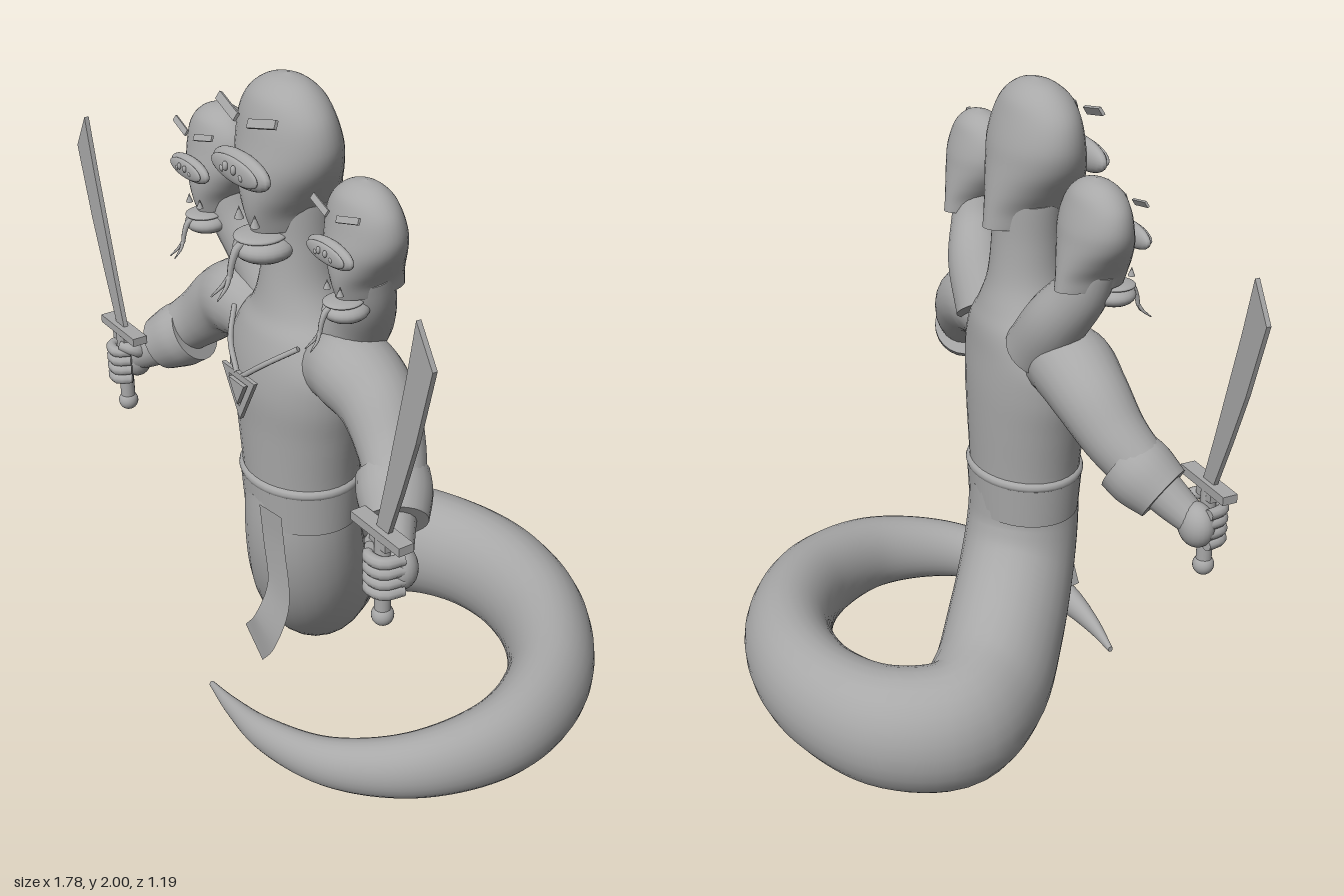
import * as THREE from 'three';

const V = (x, y, z) => new THREE.Vector3(x, y, z);
const grey = new THREE.MeshStandardMaterial({ color: 0xa8a8a8, side: THREE.DoubleSide });
grey.name = 'stone grey';

function add(parent, name, geometry, x = 0, y = 0, z = 0) {
  const m = new THREE.Mesh(geometry, grey);
  m.name = name;
  m.position.set(x, y, z);
  parent.add(m);
  return m;
}

// Skin over a list of rings, with flat caps at both ends
function skin(rings) {
  const n = rings[0].length, pos = [], idx = [];
  rings.forEach(r => r.forEach(p => pos.push(p.x, p.y, p.z)));
  for (let i = 0; i < rings.length - 1; i++) for (let j = 0; j < n; j++) {
    const k = (j + 1) % n, a = i * n + j, b = i * n + k;
    idx.push(a, a + n, b, b, a + n, b + n);
  }
  [rings[0], rings[rings.length - 1]].forEach((r, end) => {
    const base = pos.length / 3, c = V(0, 0, 0);
    r.forEach(p => { pos.push(p.x, p.y, p.z); c.addScaledVector(p, 1 / n); });
    pos.push(c.x, c.y, c.z);
    for (let j = 0; j < n; j++) {
      const a = base + j, b = base + (j + 1) % n;
      end ? idx.push(a, base + n, b) : idx.push(a, b, base + n);
    }
  });
  const g = new THREE.BufferGeometry();
  g.setAttribute('position', new THREE.Float32BufferAttribute(pos, 3));
  g.setIndex(idx);
  g.computeVertexNormals();
  return g;
}

// Tapered tube through [x, y, z, radius] rows; stretch widens it vertically
function limb(rows, steps = 24, sides = 24, stretch = 1) {
  const path = new THREE.CatmullRomCurve3(rows.map(r => V(r[0], r[1] / stretch, r[2])));
  const rad = new THREE.CatmullRomCurve3(rows.map(r => V(r[3], 0, 0)), false, 'catmullrom');
  const f = path.computeFrenetFrames(steps);
  const rings = [];
  for (let i = 0; i <= steps; i++) {
    const t = path.getUtoTmapping(i / steps), c = path.getPoint(t), r = rad.getPoint(t).x;
    rings.push(Array.from({ length: sides }, (_, j) => {
      const a = j / sides * Math.PI * 2;
      const p = c.clone().addScaledVector(f.normals[i], r * Math.cos(a)).addScaledVector(f.binormals[i], -r * Math.sin(a));
      p.y *= stretch;
      return p;
    }));
  }
  return skin(rings);
}

// Upright form through [y, half width, back z, front z] rows
function stack(rows, steps = 36, sides = 36) {
  const size = new THREE.CatmullRomCurve3(rows.map(r => V(r[1], r[0], (r[3] - r[2]) / 2)));
  const mid = new THREE.CatmullRomCurve3(rows.map(r => V(0, 0, (r[3] + r[2]) / 2)), false, 'catmullrom');
  const rings = [];
  for (let i = 0; i <= steps; i++) {
    const s = size.getPoint(i / steps), z = mid.getPoint(i / steps).z;
    rings.push(Array.from({ length: sides }, (_, j) => {
      const a = j / sides * Math.PI * 2;
      return V(s.x * Math.cos(a), s.y, z + s.z * Math.sin(a));
    }));
  }
  return skin(rings);
}

function plate(points, depth, hole) {
  const shape = new THREE.Shape(points.map(p => new THREE.Vector2(...p)));
  if (hole) shape.holes.push(new THREE.Path(hole.map(p => new THREE.Vector2(...p))));
  return new THREE.ExtrudeGeometry(shape, { depth, bevelEnabled: false });
}

const ball = (x, y, z) => new THREE.SphereGeometry(1, 24, 16).scale(x, y, z);

// Snake head, with its origin 0.2 below the crown
function makeHead(name) {
  const g = new THREE.Group();
  g.name = name;
  add(g, 'hood', stack([
    [-0.21, 0.07, -0.155, 0.125], [-0.16, 0.085, -0.15, 0.14], [-0.1, 0.125, -0.142, 0.145],
    [-0.03, 0.168, -0.13, 0.138], [0.03, 0.182, -0.12, 0.125], [0.1, 0.168, -0.1, 0.11],
    [0.15, 0.13, -0.08, 0.09], [0.185, 0.075, -0.045, 0.05], [0.2, 0.004, -0.004, 0.004]]));
  add(g, 'muzzle', ball(0.135, 0.048, 0.03), 0, -0.03, 0.15);
  add(g, 'muzzlePlate', ball(0.115, 0.035, 0.012), 0, -0.03, 0.173);
  add(g, 'lowerJaw', ball(0.085, 0.042, 0.085), 0, -0.26, 0.09);
  add(g, 'lowerLip', ball(0.07, 0.015, 0.075), 0, -0.225, 0.1);
  for (const s of [-1, 1]) {
    const brow = add(g, 'brow', new THREE.BoxGeometry(0.115, 0.024, 0.009), s * 0.085, 0.112, 0.135);
    brow.rotation.set(-0.5, 0, s * 0.26);
    add(g, 'nostril', ball(0.009, 0.013, 0.008), s * 0.02, -0.02, 0.187);
    add(g, 'muzzleDot', ball(0.01, 0.01, 0.008), s * 0.047, -0.035, 0.18);
    add(g, 'fang', new THREE.ConeGeometry(0.014, 0.035, 8), s * 0.04, -0.165, 0.14);
    add(g, 'tongueFork', limb([[0, -0.32, 0.2, 0.007], [s * 0.008, -0.345, 0.215, 0.006], [s * 0.017, -0.375, 0.25, 0.002]], 8, 8));
  }
  add(g, 'tongue', limb([[0, -0.235, 0.12, 0.012], [0, -0.245, 0.17, 0.012], [0, -0.28, 0.19, 0.01], [0, -0.325, 0.2, 0.008]], 12, 8));
  return g;
}

function makeSword(s) {
  const g = new THREE.Group();
  g.name = 'sword';
  add(g, 'blade', plate([[0.67, 1.05], [0.72, 1.05], [0.775, 1.2], [0.83, 1.36], [0.89, 1.575],
    [0.825, 1.68], [0.79, 1.52], [0.75, 1.36], [0.71, 1.2]].map(p => [s * p[0], p[1]]), 0.014), 0, 0, 0.442);
  add(g, 'guard', new THREE.BoxGeometry(0.21, 0.025, 0.045), s * 0.685, 1.04, 0.45);
  add(g, 'guardBlock', new THREE.BoxGeometry(0.07, 0.05, 0.035), s * 0.69, 1.025, 0.45);
  add(g, 'grip', new THREE.CylinderGeometry(0.022, 0.022, 0.24, 16), s * 0.69, 0.91, 0.45);
  add(g, 'pommel', ball(0.03, 0.03, 0.03), s * 0.69, 0.79, 0.45);
  return g;
}

function makeArm(s) {
  const g = new THREE.Group();
  g.name = s > 0 ? 'leftArm' : 'rightArm';
  add(g, 'sleeve', limb([[s * 0.17, 1.23, 0.25, 0.1], [s * 0.27, 1.25, 0.25, 0.118], [s * 0.38, 1.21, 0.25, 0.108],
    [s * 0.48, 1.125, 0.275, 0.092], [s * 0.56, 1.055, 0.315, 0.08]]));
  add(g, 'cuff', limb([[s * 0.515, 1.065, 0.295, 0.098], [s * 0.56, 1.035, 0.32, 0.1], [s * 0.615, 0.995, 0.355, 0.085]], 12));
  add(g, 'wrist', limb([[s * 0.58, 1.02, 0.34, 0.065], [s * 0.64, 0.97, 0.38, 0.055], [s * 0.69, 0.935, 0.41, 0.045]], 10, 16));
  add(g, 'palm', ball(0.06, 0.065, 0.048), s * 0.7, 0.93, 0.41);
  // Fingers wrapped round the grip
  for (let i = 0; i < 4; i++)
    add(g, 'finger', limb([[s * 0.74, 0.975 - i * 0.031, 0.42, 0.016], [s * 0.725, 0.975 - i * 0.031, 0.475, 0.017],
      [s * 0.675, 0.975 - i * 0.031, 0.485, 0.017], [s * 0.65, 0.975 - i * 0.031, 0.45, 0.014]], 10, 10));
  add(g, 'thumb', limb([[s * 0.65, 0.96, 0.4, 0.022], [s * 0.635, 0.985, 0.44, 0.02], [s * 0.67, 0.995, 0.475, 0.015]], 10, 10));
  g.add(makeSword(s));
  return g;
}

// Wavy cloth strip hanging from the belt
function makeSash() {
  const c = new THREE.CatmullRomCurve3([V(0.1, 0.78, 0.42), V(0.115, 0.67, 0.42), V(0.15, 0.53, 0.432), V(0.115, 0.39, 0.46), V(0.04, 0.3, 0.455)]);
  const geo = new THREE.PlaneGeometry(1, 1, 2, 24), p = geo.attributes.position;
  for (let i = 0; i < p.count; i++) {
    const u = 0.5 - p.getY(i), w = p.getX(i) * 0.118, q = c.getPoint(u), t = c.getTangent(u);
    const l = Math.hypot(t.x, t.y);
    p.setXYZ(i, q.x - t.y / l * w, q.y + t.x / l * w, q.z);
  }
  geo.computeVertexNormals();
  return geo;
}

export function createModel() {
  const root = new THREE.Group();
  root.name = 'threeHeadedSerpentWarrior';

  // Coiled tail
  add(root, 'tail', limb([[0, 0.78, 0.25, 0.165], [0, 0.64, 0.25, 0.17], [-0.03, 0.5, 0.22, 0.175], [-0.13, 0.34, 0.13, 0.18],
    [-0.26, 0.235, 0.01, 0.178], [-0.35, 0.205, -0.14, 0.165], [-0.28, 0.2, -0.32, 0.155], [-0.1, 0.2, -0.43, 0.145],
    [0.12, 0.2, -0.46, 0.142], [0.36, 0.195, -0.4, 0.138], [0.58, 0.19, -0.23, 0.125], [0.685, 0.185, 0.02, 0.104],
    [0.63, 0.165, 0.28, 0.082], [0.46, 0.14, 0.46, 0.062], [0.24, 0.125, 0.54, 0.044], [0.06, 0.115, 0.55, 0.024],
    [-0.08, 0.105, 0.54, 0.008]], 110, 28, 1.24));

  // Torso, neck and belt
  add(root, 'torso', stack([[0.7, 0.18, 0.095, 0.405], [0.84, 0.19, 0.09, 0.41], [1, 0.218, 0.085, 0.415], [1.12, 0.245, 0.085, 0.42],
    [1.21, 0.25, 0.09, 0.41], [1.29, 0.21, 0.095, 0.39], [1.35, 0.155, 0.11, 0.365], [1.43, 0.115, 0.13, 0.35],
    [1.54, 0.1, 0.14, 0.34], [1.66, 0.1, 0.14, 0.34]], 48));
  add(root, 'belt', new THREE.CylinderGeometry(0.197, 0.188, 0.13, 40).scale(1, 1, 0.85), 0, 0.76, 0.25);
  add(root, 'beltRim', new THREE.TorusGeometry(0.185, 0.016, 10, 40).rotateX(Math.PI / 2).scale(1, 1, 0.85), 0, 0.828, 0.25);
  add(root, 'sash', makeSash());

  // Necklace
  add(root, 'pendant', plate([[-0.085, 1.185], [0, 1.04], [0.085, 1.185]], 0.012, [[-0.05, 1.165], [0.05, 1.165], [0, 1.08]]), 0, 0, 0.436);
  add(root, 'pendantGem', plate([[-0.04, 1.16], [0, 1.09], [0.04, 1.16]], 0.015), 0, 0, 0.44);

  const main = makeHead('middleHead');
  main.position.set(0, 1.8, 0.26);
  root.add(main);

  for (const s of [-1, 1]) {
    add(root, 'necklaceCord', limb([[s * 0.165, 1.3, 0.355, 0.008], [s * 0.09, 1.24, 0.415, 0.008], [s * 0.015, 1.18, 0.442, 0.008]], 10, 8));
    add(root, 'sideNeck', limb([[s * 0.16, 1.27, 0.2, 0.095], [s * 0.25, 1.39, 0.21, 0.09], [s * 0.32, 1.49, 0.24, 0.078], [s * 0.35, 1.58, 0.26, 0.07]], 20));
    const head = makeHead(s > 0 ? 'leftHead' : 'rightHead');
    head.position.set(s * 0.35, 1.674, 0.26);
    head.scale.setScalar(0.73);
    root.add(head);
    root.add(makeArm(s));
  }
  return root;
}
